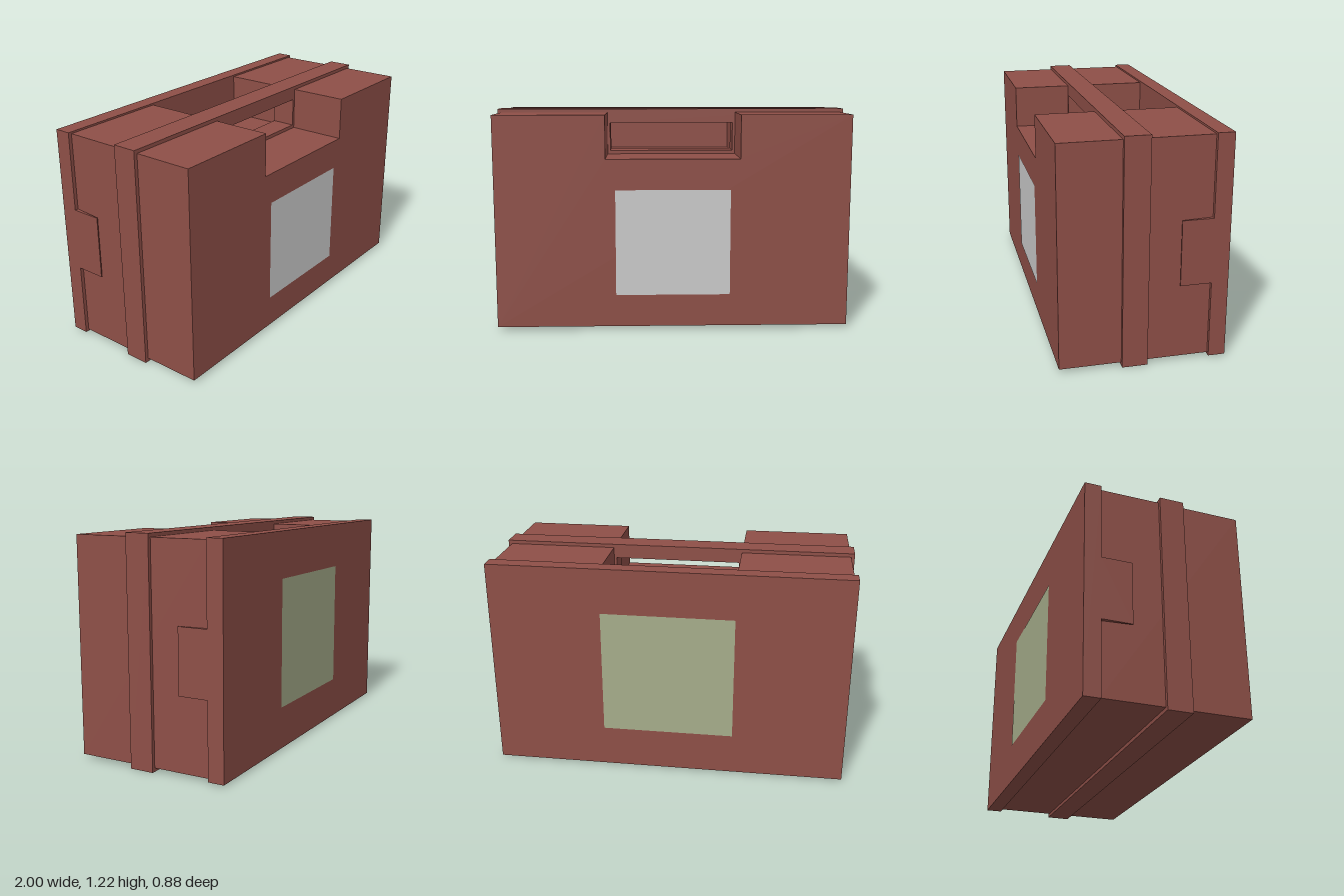
import * as THREE from 'three';

const leather = new THREE.MeshStandardMaterial({ color: 0x8e4f47, flatShading: true });
const grey = new THREE.MeshStandardMaterial({ color: 0xcccccc });
const greenGrey = new THREE.MeshStandardMaterial({ color: 0xa6ad8b });

const points = (list) => list.map(([x, y]) => new THREE.Vector2(x, y));
const rect = (x0, y0, x1, y1) => points([[x0, y0], [x1, y0], [x1, y1], [x0, y1]]);

export function createModel() {
  const model = new THREE.Group();

  const add = (name, geometry, material = leather) => {
    const mesh = new THREE.Mesh(geometry, material);
    mesh.name = name;
    model.add(mesh);
    return mesh;
  };

  // Extrudes an x-y outline from z0 to z1
  const slab = (name, outline, z0, z1, hole) => {
    const shape = new THREE.Shape(outline);
    if (hole) shape.holes.push(new THREE.Path(hole));
    const geometry = new THREE.ExtrudeGeometry(shape, { depth: z1 - z0, bevelEnabled: false });
    return add(name, geometry.translate(0, 0, z0));
  };

  // Case body with the handle recess cut through its top
  slab('body', points([
    [-0.98, 0.02], [0.98, 0.02], [0.98, 1.2], [0.37, 1.2],
    [0.37, 0.96], [-0.37, 0.96], [-0.37, 1.2], [-0.98, 1.2],
  ]), -0.35, 0.44);

  // Raised band around the middle, pierced to form the handle
  slab('handleBand', rect(-1, 0, 1, 1.22), -0.02, 0.115, rect(-0.355, 0.98, 0.355, 1.14));

  // Lid covering the back
  slab('backLid', rect(-1, 0.01, 1, 1.21), -0.44, -0.35);

  // Side latches, thinning toward their free front edge
  for (const side of [-1, 1]) {
    const outline = points([[0.98, 0.35], [1, 0.35], [1, 0.185], [0.994, 0.185]]
      .map(([x, y]) => [side * x, y]));
    const geometry = new THREE.ExtrudeGeometry(new THREE.Shape(outline), { depth: 0.35, bevelEnabled: false });
    geometry.rotateX(-Math.PI / 2).translate(0, 0.425, 0);
    add(side > 0 ? 'leftLatch' : 'rightLatch', geometry);
  }

  // Flat panels on the front and back
  add('frontPanel', new THREE.PlaneGeometry(0.635, 0.59), grey).position.set(0, 0.495, 0.442);
  const backPanel = add('backPanel', new THREE.PlaneGeometry(0.74, 0.71), greenGrey);
  backPanel.position.set(0, 0.6, -0.442);
  backPanel.rotation.y = Math.PI;

  return model;
}
